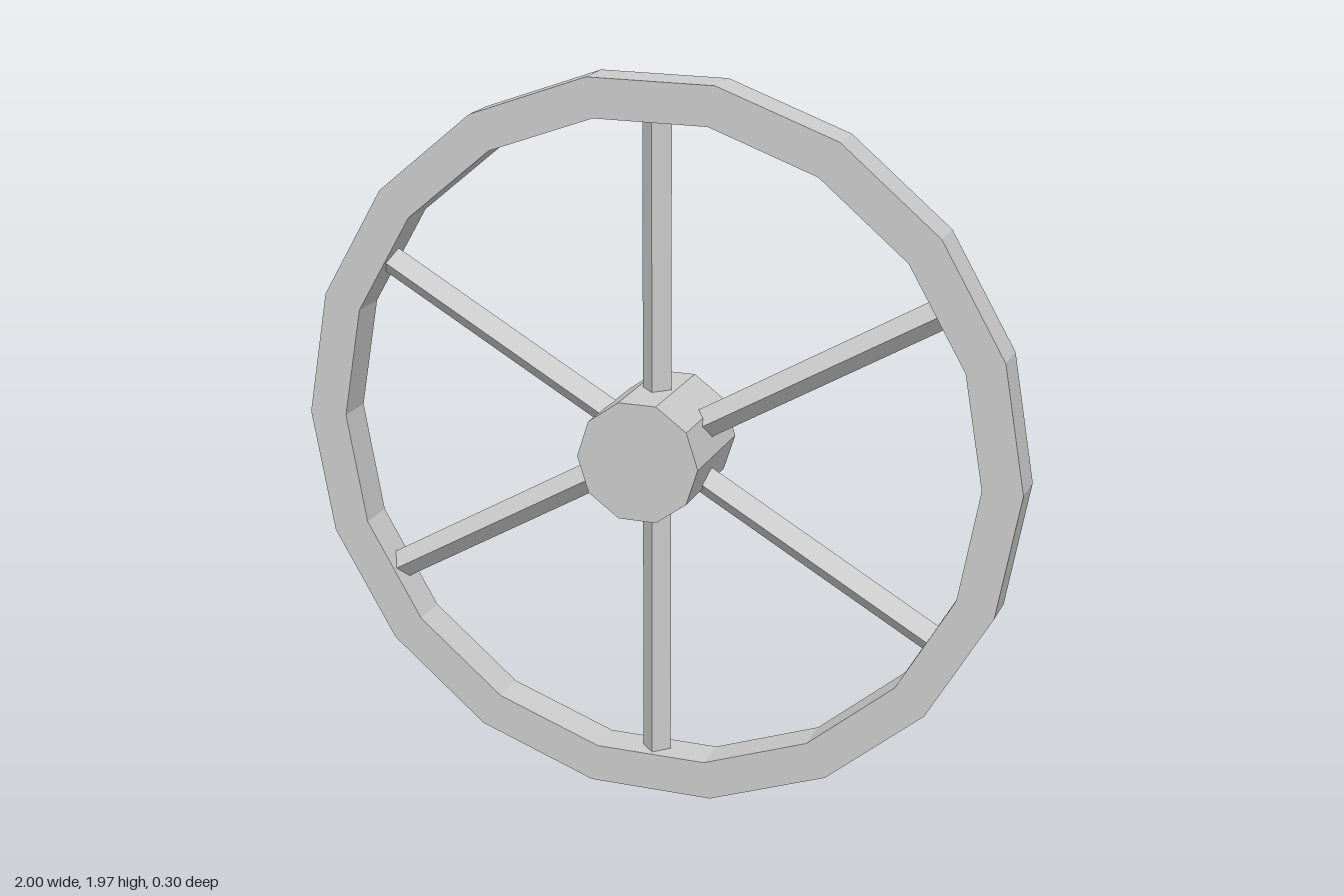
import * as THREE from 'three';

const RIM_SIDES = 18, RIM_OUTER = 1, RIM_INNER = 0.893, RIM_DEPTH = 0.108;
const HUB_RADIUS = 0.168, HUB_DEPTH = 0.304;
const SPOKES = 6, SPOKE_RADIUS = 0.04, SPOKE_START = 0.1;

// Corners of a regular polygon, first corner on +x
function polygon(sides, radius) {
  return Array.from({ length: sides }, (_, i) => {
    const a = (i / sides) * Math.PI * 2;
    return new THREE.Vector2(radius * Math.cos(a), radius * Math.sin(a));
  });
}

export function createModel() {
  const model = new THREE.Group();
  model.name = 'wheel';
  const material = new THREE.MeshStandardMaterial({ color: 0xcccccc, flatShading: true });
  const apothem = Math.cos(Math.PI / RIM_SIDES);

  const add = (name, geometry) => {
    const mesh = new THREE.Mesh(geometry, material);
    mesh.name = name;
    model.add(mesh);
    return mesh;
  };

  // Faceted rim with square edges
  const ring = new THREE.Shape(polygon(RIM_SIDES, RIM_OUTER));
  ring.holes.push(new THREE.Path(polygon(RIM_SIDES, RIM_INNER)));
  const rim = new THREE.ExtrudeGeometry(ring, { depth: RIM_DEPTH, bevelEnabled: false });
  add('rim', rim.translate(0, 0, -RIM_DEPTH / 2));

  // Ten-sided hub, with a corner pointing to each side
  const hub = new THREE.CylinderGeometry(HUB_RADIUS, HUB_RADIUS, HUB_DEPTH, 10);
  add('hub', hub.rotateY(Math.PI / 2).rotateX(Math.PI / 2));

  // Diamond-section spokes, each meeting the middle of a rim facet
  const end = RIM_INNER * apothem + 0.003;
  const spoke = new THREE.CylinderGeometry(SPOKE_RADIUS, SPOKE_RADIUS, end - SPOKE_START, 4);
  spoke.translate(0, (end + SPOKE_START) / 2, 0);
  for (let i = 0; i < SPOKES; i++) {
    add(`spoke${i + 1}`, spoke).rotation.z = (i / SPOKES) * Math.PI * 2;
  }

  // Rest the bottom facet on the ground
  for (const part of model.children) part.position.y = RIM_OUTER * apothem;
  return model;
}
